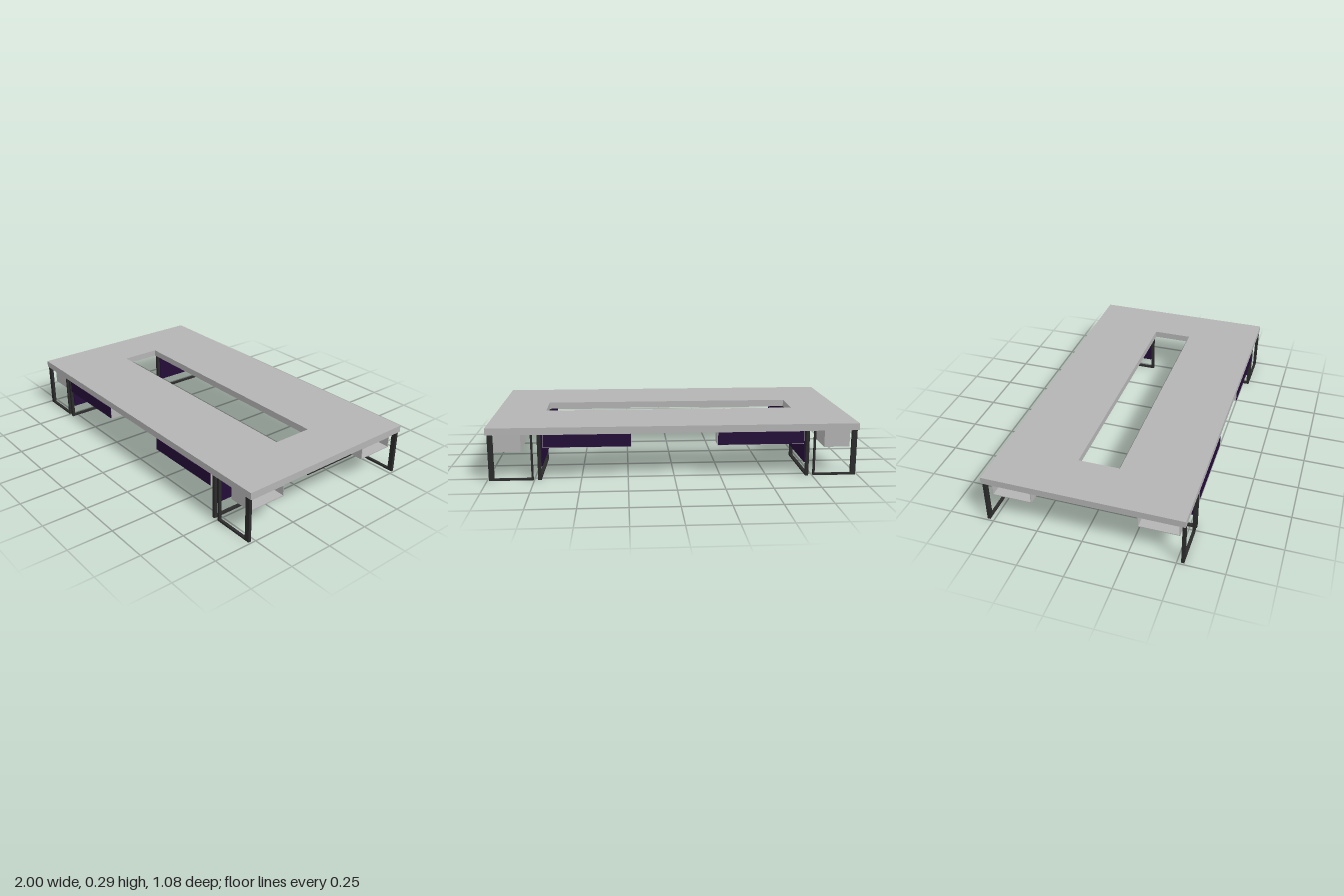
import * as THREE from 'three';

const grey = new THREE.MeshStandardMaterial({ color: 0xb4b4b4 });
grey.name = 'light grey';
const black = new THREE.MeshStandardMaterial({ color: 0x2b2b2b });
black.name = 'black metal';
const purple = new THREE.MeshStandardMaterial({ color: 0x240d38 });
purple.name = 'dark purple';

const TOP_Y = 0.25; // underside of the table top

// Box given by its limits on each axis; sx and sz mirror it into a corner
function block(parent, name, material, [x0, x1], [y0, y1], [z0, z1], sx, sz) {
  const mesh = new THREE.Mesh(new THREE.BoxGeometry(x1 - x0, y1 - y0, z1 - z0), material);
  mesh.position.set(sx * (x0 + x1) / 2, (y0 + y1) / 2, sz * (z0 + z1) / 2);
  mesh.name = name;
  parent.add(mesh);
}

function rectangle(path, w, d) {
  path.moveTo(-w, -d);
  path.lineTo(w, -d);
  path.lineTo(w, d);
  path.lineTo(-w, d);
  path.closePath();
  return path;
}

function tableTop() {
  const shape = rectangle(new THREE.Shape(), 1, 0.54);
  shape.holes.push(rectangle(new THREE.Path(), 0.718, 0.114));
  const geometry = new THREE.ExtrudeGeometry(shape, { depth: 0.038, bevelEnabled: false });
  geometry.rotateX(-Math.PI / 2);
  const mesh = new THREE.Mesh(geometry, grey);
  mesh.position.y = TOP_Y;
  mesh.name = 'tableTop';
  return mesh;
}

function corner(sx, sz) {
  const group = new THREE.Group();
  group.name = 'cornerUnit';
  const add = (name, material, x, y, z) => block(group, name, material, x, y, z, sx, sz);
  const full = [0, TOP_Y];

  // Corner leg frame, running along the long edge
  add('outerPost', black, [0.962, 0.99], full, [0.522, 0.538]);
  add('outerInnerPost', black, [0.755, 0.765], full, [0.522, 0.538]);
  add('outerFootBar', black, [0.765, 0.962], [0, 0.01], [0.522, 0.538]);

  // Cross frame, running inwards, with its privacy panel
  add('crossFrontPost', black, [0.712, 0.73], full, [0.522, 0.538]);
  add('crossBackPost', black, [0.712, 0.73], full, [0.127, 0.145]);
  add('crossFootBar', black, [0.712, 0.73], [0, 0.01], [0.145, 0.522]);
  add('crossPanel', purple, [0.706, 0.714], [0.072, TOP_Y], [0.145, 0.522]);

  // Open storage box facing the table end
  const x = [0.82, 0.96], z = [0.285, 0.505];
  add('storageFloor', grey, x, [0.15, 0.155], z);
  add('storageCeiling', grey, x, [0.245, TOP_Y], z);
  add('storageShelf', grey, [0.825, 0.96], [0.211, 0.215], [0.29, 0.5]);
  add('storageInnerSide', grey, x, [0.155, 0.245], [0.285, 0.29]);
  add('storageOuterSide', grey, x, [0.155, 0.245], [0.5, 0.505]);
  add('storageBack', grey, [0.82, 0.825], [0.155, 0.245], [0.29, 0.5]);

  // Long box under the edge with a coloured front
  add('edgeBox', grey, [0.23, 0.7], [0.177, TOP_Y], [0.44, 0.537]);
  add('edgeBoxFront', purple, [0.233, 0.697], [0.18, 0.248], [0.537, 0.54]);
  return group;
}

export function createModel() {
  const model = new THREE.Group();
  model.name = 'conferenceTable';
  model.add(tableTop());
  for (const sx of [-1, 1]) for (const sz of [-1, 1]) model.add(corner(sx, sz));
  return model;
}
